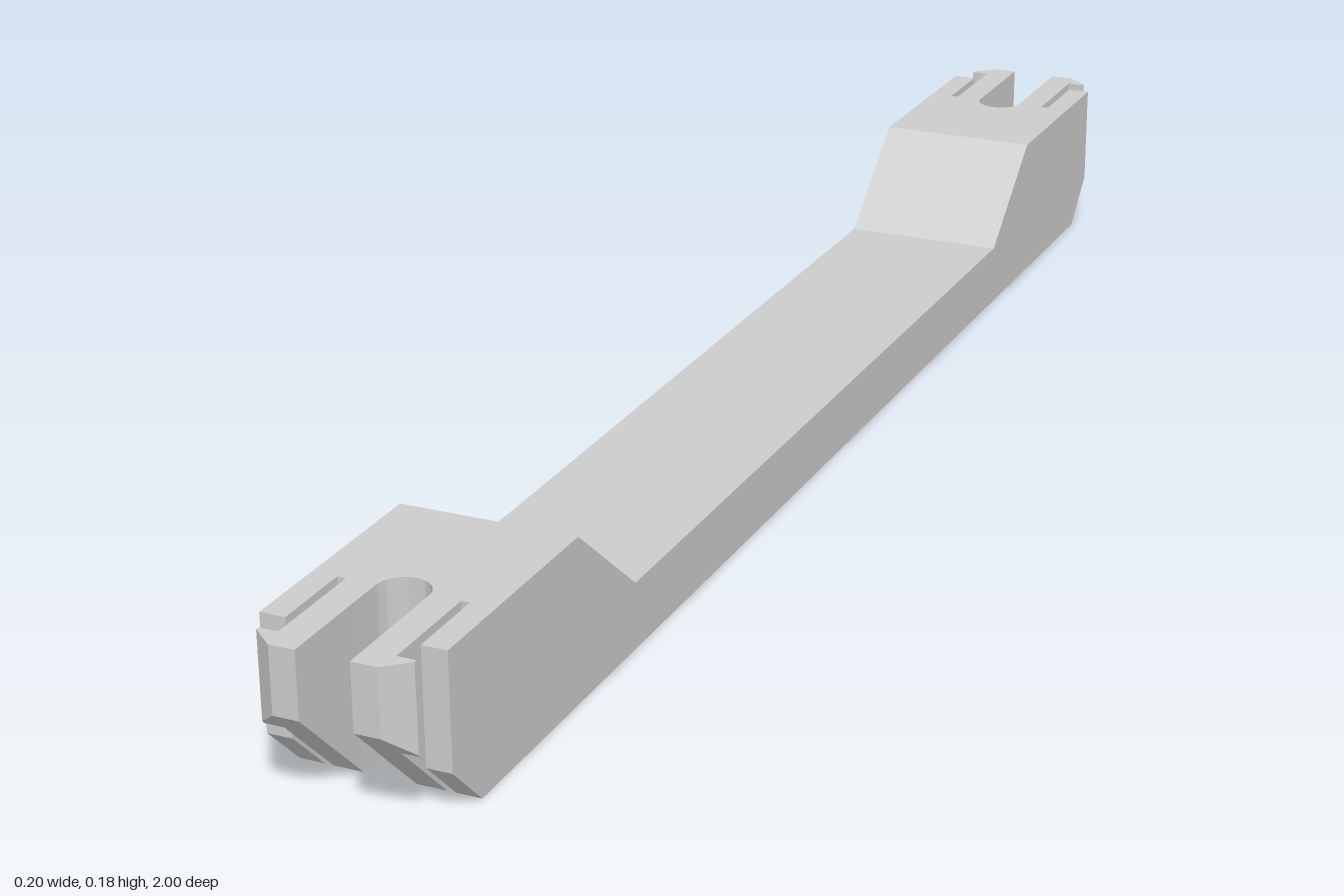
import * as THREE from 'three';
import { toCreasedNormals } from 'three/addons/utils/BufferGeometryUtils.js';

const W = 0.0995;       // half width
const H = 0.1815;       // height of the raised ends
const ROOT = 0.8;       // where the clip ends join the bar
const CHAMFER = 0.892;  // where the underside starts to rise at 45 degrees
const SLOT = 0.0288;    // half width of the centre slot
const GUARD = 0.0715;   // inner side of the outer guards

// Remove the hidden faces where two pieces meet, then keep edges sharp
function finish(geometry, joints) {
  const g = geometry.index ? geometry.toNonIndexed() : geometry;
  const p = g.attributes.position;
  const kept = [];
  for (let i = 0; i < p.count; i += 3) {
    const hidden = joints.some((z) =>
      [0, 1, 2].every((k) => Math.abs(p.getZ(i + k) - z) < 1e-4));
    if (hidden) continue;
    for (let k = 0; k < 3; k++) kept.push(p.getX(i + k), p.getY(i + k), p.getZ(i + k));
  }
  const out = new THREE.BufferGeometry();
  out.setAttribute('position', new THREE.Float32BufferAttribute(kept, 3));
  return toCreasedNormals(out, 0.5);
}

// Plan outline (x, distance outward) raised to full height, underside chamfered
function planGeometry(shape, joints) {
  const g = new THREE.ExtrudeGeometry(shape, { depth: H, bevelEnabled: false, curveSegments: 24 });
  g.rotateX(-Math.PI / 2);
  const p = g.attributes.position;
  for (let i = 0; i < p.count; i++) {
    if (p.getY(i) < 0.01) p.setY(i, Math.max(0, -p.getZ(i) - CHAMFER));
  }
  return finish(g, joints);
}

const polygon = (points, side = 1) =>
  new THREE.Shape(points.map(([x, y]) => new THREE.Vector2(x * side, y)));

export function createModel() {
  const model = new THREE.Group();
  model.name = 'clipBar';
  const grey = new THREE.MeshStandardMaterial({ color: 0xcccccc });
  grey.name = 'light grey';

  const add = (parent, name, geometry) => {
    const mesh = new THREE.Mesh(geometry, grey);
    mesh.name = name;
    parent.add(mesh);
  };

  // Bar: side profile (z, y) swept across the width
  const profile = polygon([
    [-ROOT, 0], [ROOT, 0], [ROOT, H], [0.68, H], [0.553, 0.075],
    [-0.553, 0.075], [-0.68, H], [-ROOT, H],
  ]);
  const bar = new THREE.ExtrudeGeometry(profile, { depth: 2 * W, bevelEnabled: false });
  bar.translate(0, 0, -W).rotateY(-Math.PI / 2);
  add(model, 'bar', finish(bar, [ROOT, -ROOT]));

  // Slotted root of the clip: rounded centre slot and two narrow side slots
  const root = polygon([
    [-W, ROOT], [W, ROOT], [W, CHAMFER], [GUARD, CHAMFER], [GUARD, 0.851],
    [0.062, 0.851], [0.062, CHAMFER], [SLOT, CHAMFER], [SLOT, 0.853],
  ]);
  root.absarc(0, 0.853, SLOT, 0, -Math.PI, true);
  [[-SLOT, CHAMFER], [-0.062, CHAMFER], [-0.062, 0.851], [-GUARD, 0.851],
    [-GUARD, CHAMFER], [-W, CHAMFER]].forEach(([x, y]) => root.lineTo(x, y));

  // Barbed prong and outer guard, mirrored on each side
  const prong = [
    [SLOT, CHAMFER], [SLOT, 1], [0.057, 1], [0.083, 0.978],
    [0.083, 0.974], [0.062, 0.974], [0.062, CHAMFER],
  ];
  const guard = [[GUARD, CHAMFER], [GUARD, 0.946], [W, 0.946], [W, CHAMFER]];

  for (const [name, turn] of [['backClip', 0], ['frontClip', Math.PI]]) {
    const clip = new THREE.Group();
    clip.name = name;
    clip.rotation.y = turn;
    add(clip, 'clipRoot', planGeometry(root, [-ROOT, -CHAMFER]));
    for (const side of [-1, 1]) {
      add(clip, 'barbedProng', planGeometry(polygon(prong, side), [-CHAMFER]));
      add(clip, 'outerGuard', planGeometry(polygon(guard, side), [-CHAMFER]));
    }
    model.add(clip);
  }
  return model;
}
